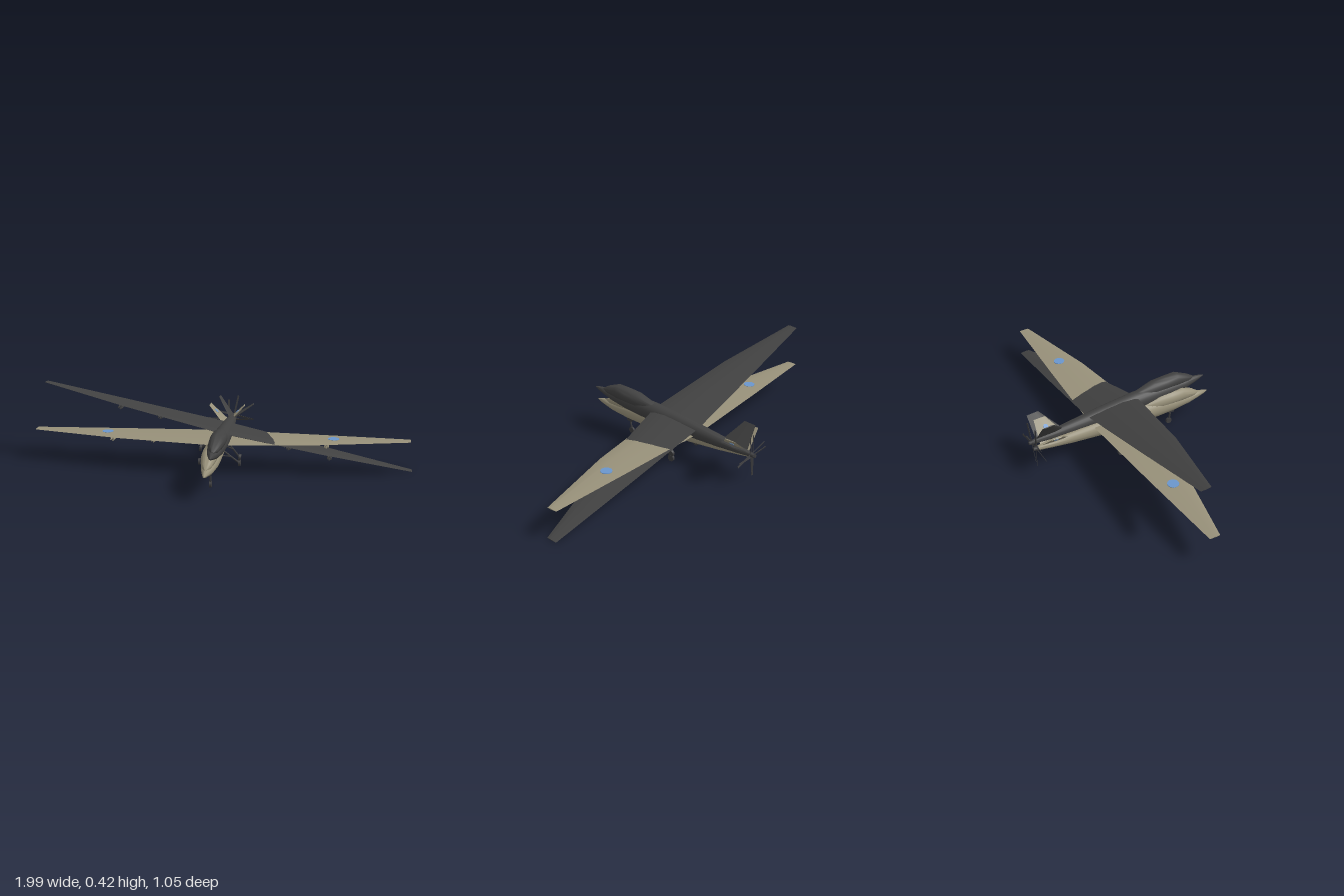
import * as THREE from 'three';
import { toCreasedNormals } from 'three/addons/utils/BufferGeometryUtils.js';

const mat = (name, color) => {
  const m = new THREE.MeshStandardMaterial({ color });
  m.name = name;
  return m;
};
const V = (x, y, z) => new THREE.Vector3(x, y, z);

// Skin a list of equal-length loops and close both ends
function loft(loops, crease = 0.7) {
  const n = loops[0].length, pos = [], idx = [];
  loops.forEach(l => l.forEach(p => pos.push(p.x, p.y, p.z)));
  for (let i = 0; i < loops.length - 1; i++)
    for (let j = 0; j < n; j++) {
      const a = i * n + j, b = i * n + (j + 1) % n;
      idx.push(a, b, a + n, b, b + n, a + n);
    }
  [0, loops.length - 1].forEach(i => {
    const c = loops[i].reduce((s, p) => s.add(p), V(0, 0, 0)).divideScalar(n);
    const k = pos.length / 3;
    pos.push(c.x, c.y, c.z);
    for (let j = 0; j < n; j++) {
      const a = i * n + j, b = i * n + (j + 1) % n;
      if (i === 0) idx.push(k, b, a); else idx.push(k, a, b);
    }
  });
  // Flip the winding when the skin faces inward
  let vol = 0;
  const P = k => V(pos[3 * k], pos[3 * k + 1], pos[3 * k + 2]);
  for (let i = 0; i < idx.length; i += 3) vol += P(idx[i]).dot(P(idx[i + 1]).cross(P(idx[i + 2])));
  if (vol < 0) idx.reverse();
  const g = new THREE.BufferGeometry();
  g.setAttribute('position', new THREE.Float32BufferAttribute(pos, 3));
  g.setIndex(idx);
  return toCreasedNormals(g, crease);
}

// Elliptical loop across the fuselage: [z, centre y, half width, half height]
const oval = ([z, cy, rx, ry], n = 24) => Array.from({ length: n }, (_, i) => {
  const a = i / n * Math.PI * 2;
  return V(Math.cos(a) * rx, cy + Math.sin(a) * ry, z);
});

// Airfoil loop at (x, y), thickened along direction (nx, ny)
const HALF = [[0.08, 0.3], [0.3, 0.5], [0.65, 0.33]];
function foil(x, y, nx, ny, lead, trail, t) {
  const side = [[0, 0], ...HALF, [1, 0], ...HALF.map(([f, h]) => [f, -h]).reverse()];
  return side.map(([f, h]) => V(x + nx * h * t, y + ny * h * t, lead + (trail - lead) * f));
}

function buildAircraft(skin, m, marked) {
  const g = new THREE.Group();
  const add = (name, geo, material, p = [0, 0, 0], r = [0, 0, 0], parent = g) => {
    const o = new THREE.Mesh(geo, material);
    o.name = name;
    o.position.set(...p);
    o.rotation.set(...r);
    parent.add(o);
    return o;
  };
  const rod = (name, a, b, r, material) => {
    const d = b.clone().sub(a);
    const o = add(name, new THREE.CylinderGeometry(r, r, d.length(), 10), material);
    o.position.copy(a).addScaledVector(d, 0.5);
    o.quaternion.setFromUnitVectors(V(0, 1, 0), d.normalize());
  };

  // Body and the bulge above the nose
  add('fuselage', loft([
    [0.525, 0.132, 0.002, 0.002], [0.5, 0.132, 0.01, 0.011], [0.45, 0.131, 0.021, 0.021],
    [0.4, 0.13, 0.031, 0.029], [0.3, 0.135, 0.043, 0.044], [0.2, 0.137, 0.046, 0.051],
    [0.1, 0.138, 0.046, 0.053], [-0.1, 0.135, 0.042, 0.048], [-0.3, 0.137, 0.03, 0.033],
    [-0.42, 0.14, 0.021, 0.021], [-0.49, 0.14, 0.012, 0.012],
  ].map(s => oval(s))), skin);
  add('noseBulge', loft([
    [0.465, 0.148, 0.006, 0.003], [0.43, 0.156, 0.024, 0.02], [0.36, 0.172, 0.037, 0.04],
    [0.29, 0.172, 0.041, 0.041], [0.22, 0.172, 0.04, 0.041], [0.1, 0.165, 0.02, 0.022],
  ].map(s => oval(s))), skin);

  // Long straight wing with a bend in the leading edge
  const half = [[0.99, -0.064, -0.119, 0.005], [0.52, 0.042, -0.15, 0.013]];
  const wing = [...half.map(([x, ...s]) => [-x, ...s]), [0, 0.112, -0.18, 0.022],
    ...half.slice().reverse()];
  add('wing', loft(wing.map(([x, l, t, h]) => foil(x, 0.165, 0, 1, l, t, h))), skin);

  for (const s of [-1, 1]) {
    // V tail
    const k = Math.SQRT1_2;
    add('tailFin', loft([
      foil(0, 0.147, -s * k, k, -0.315, -0.472, 0.01),
      foil(s * 0.096, 0.241, -s * k, k, -0.395, -0.46, 0.006),
    ]), skin);
    if (marked) {
      add('wingMarking', new THREE.CylinderGeometry(0.029, 0.029, 0.006, 24), m.blue, [s * 0.595, 0.1685, -0.064]);
      add('finMarking', new THREE.CylinderGeometry(0.013, 0.013, 0.0095, 20), m.blue,
        [s * 0.06, 0.206, -0.412], [0, 0, s * 0.775]);
    }

    // Stores under the wing: pylon plus paired tubes
    for (const x of [0.343, 0.56]) {
      add('pylon', new THREE.BoxGeometry(0.005, 0.025, 0.04), skin, [s * x, 0.152, -0.045]);
      add('rack', new THREE.BoxGeometry(0.02, 0.004, 0.04), skin, [s * x, 0.143, -0.045]);
      for (const d of [-1, 1])
        add('store', new THREE.CylinderGeometry(0.004, 0.004, 0.07, 10), skin,
          [s * x + d * 0.008, 0.14, -0.045], [Math.PI / 2, 0, 0]);
      add('lowerStore', new THREE.CylinderGeometry(0.004, 0.004, 0.06, 10), skin,
        [s * x, 0.133, -0.05], [Math.PI / 2, 0, 0]);
    }

    // Main landing gear
    rod('mainStrut', V(s * 0.025, 0.1, -0.02), V(s * 0.1, 0.025, -0.065), 0.005, m.gear);
    rod('mainBrace', V(s * 0.02, 0.085, 0.02), V(s * 0.065, 0.06, -0.045), 0.003, m.gear);
    add('mainWheel', new THREE.CylinderGeometry(0.018, 0.018, 0.012, 20), m.gear,
      [s * 0.106, 0.02, -0.068], [0, 0, Math.PI / 2]);
  }

  // Nose gear
  rod('noseStrut', V(0, 0.095, 0.3), V(0, 0.02, 0.287), 0.005, m.gear);
  rod('noseBrace', V(0, 0.09, 0.27), V(0, 0.065, 0.295), 0.004, m.gear);
  add('noseBracket', new THREE.BoxGeometry(0.016, 0.014, 0.03), m.gear, [0, 0.08, 0.298]);
  add('noseWheel', new THREE.CylinderGeometry(0.016, 0.016, 0.012, 20), m.gear, [0, 0.018, 0.287], [0, 0, Math.PI / 2]);

  // Sensor pod under the belly
  const pod = add('bellyPod', new THREE.SphereGeometry(0.022, 20, 14), m.grey, [0, 0.084, -0.04]);
  pod.scale.z = 2;

  // Pusher propeller
  const prop = new THREE.Group();
  prop.name = 'propeller';
  prop.position.set(0, 0.14, -0.497);
  g.add(prop);
  add('hub', new THREE.CylinderGeometry(0.013, 0.009, 0.025, 16), m.gear, [0, 0, -0.003], [Math.PI / 2, 0, 0], prop);
  for (let i = 0; i < 4; i++) {
    const arm = new THREE.Group();
    arm.rotation.z = i * Math.PI / 2;
    prop.add(arm);
    add('blade', new THREE.BoxGeometry(0.01, 0.105, 0.002), m.gear, [0, 0.06, 0], [0, 0.35, 0], arm);
  }
  return g;
}

export function createModel() {
  const m = {
    tan: mat('tan paint', 0x979079),
    dark: mat('charcoal paint', 0x414141),
    gear: mat('gear metal', 0x3c3c3e),
    grey: mat('pale grey', 0xa3a3a1),
    blue: mat('blue marking', 0x6a96cc),
  };
  const model = new THREE.Group();

  // Level aircraft
  const level = buildAircraft(m.tan, m, true);
  level.name = 'levelAircraft';
  level.position.set(-0.007, 0, 0);

  // Second aircraft, climbing and banked
  const banked = buildAircraft(m.dark, m, false);
  banked.name = 'bankedAircraft';
  banked.position.set(-0.007, 0.057, -0.002);
  banked.rotation.set(-0.064, 0, -0.21);

  model.add(level, banked);
  return model;
}
